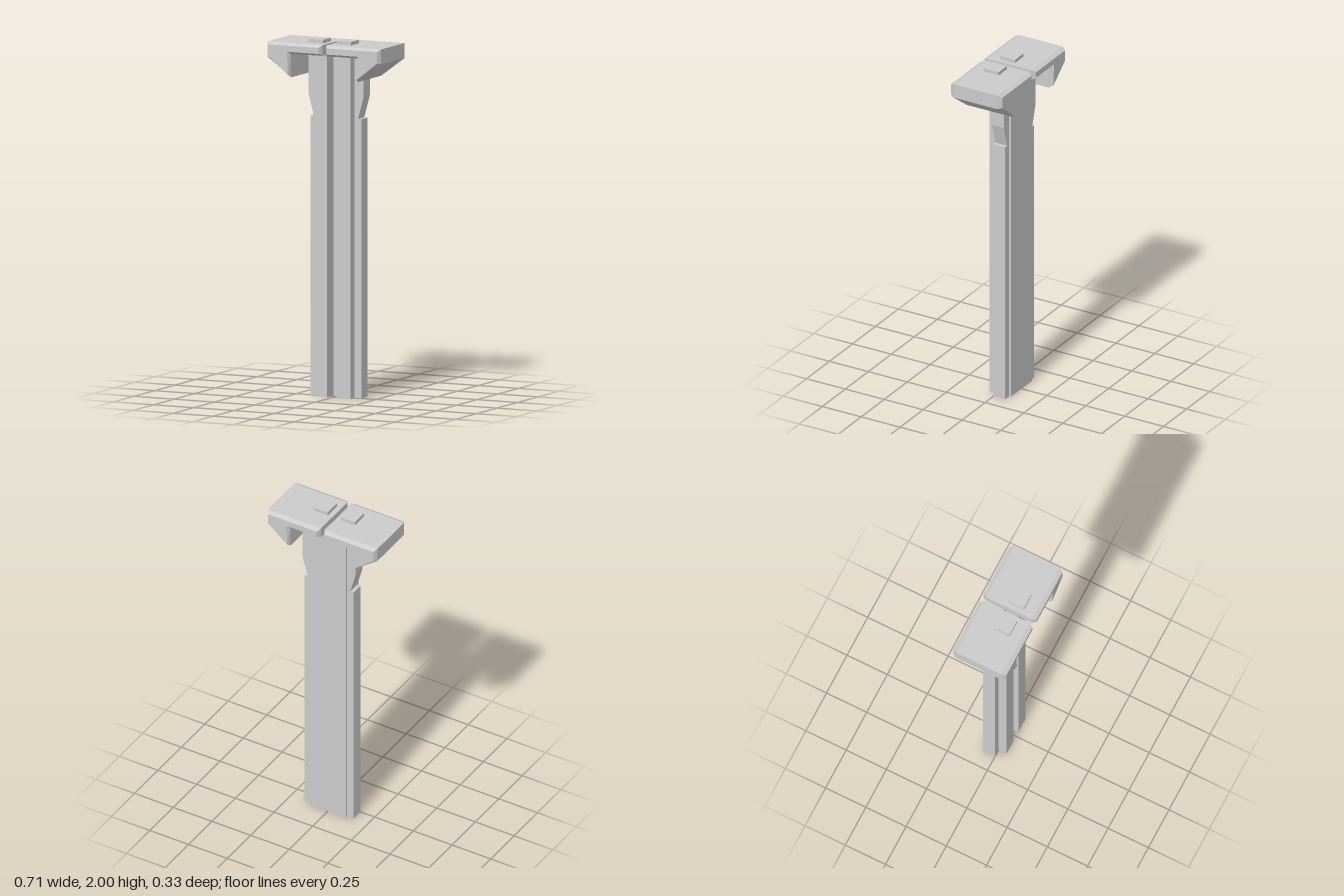
import * as THREE from 'three';

const material = new THREE.MeshStandardMaterial({ color: 0xcccccc, flatShading: true });

function part(name, geometry) {
  const mesh = new THREE.Mesh(geometry, material);
  mesh.name = name;
  return mesh;
}

// Extrudes a point outline, optionally mirrored in x
function extrude(points, side, options) {
  const shape = new THREE.Shape(points.map(([x, y]) => new THREE.Vector2(x * side, y)));
  return new THREE.ExtrudeGeometry(shape, { bevelEnabled: false, ...options });
}

export function createModel() {
  const model = new THREE.Group();
  model.name = 'clipPost';
  const postTop = 1.92;

  // Post core: two front ribs with a deep groove between (outline in x, -z)
  const half = [[0.03, 0.03], [0.03, -0.05], [0.116, -0.05], [0.116, 0.087]];
  const outline = [...half, ...half.map(([x, y]) => [-x, y]).reverse()];
  const core = extrude(outline, 1, { depth: postTop });
  core.rotateX(-Math.PI / 2);
  model.add(part('postCore', core));

  // Side wing of the post, notched and flared near the top
  const wing = [[0.116, 0], [0.158, 0], [0.158, 1.56], [0.137, 1.56],
    [0.172, 1.685], [0.172, postTop], [0.116, postTop]];

  // Hooked clip: flat top plate with an outer wedge hanging down
  const clip = [[0.012, 1.92], [0.207, 1.92], [0.207, 1.788],
    [0.354, 1.897], [0.354, 1.98], [0.012, 1.98]];

  for (const [side, label] of [[1, 'left'], [-1, 'right']]) {
    const wingGeometry = extrude(wing, side, { depth: 0.075 });
    wingGeometry.translate(0, 0, -0.075);
    model.add(part(label + 'Wing', wingGeometry));

    // Front and back faces of the clip are chamfered inwards
    const clipGeometry = extrude(clip, side, {
      depth: 0.284, bevelEnabled: true, bevelSegments: 1,
      bevelThickness: 0.023, bevelSize: 0.013, bevelOffset: -0.013,
    });
    clipGeometry.translate(0, 0, -0.142);
    model.add(part(label + 'Clip', clipGeometry));

    // Small raised pad on top of the clip
    const pad = part(label + 'Pad', new THREE.BoxGeometry(0.092, 0.03, 0.097));
    pad.position.set(side * 0.088, 1.985, 0.029);
    model.add(pad);
  }
  return model;
}
